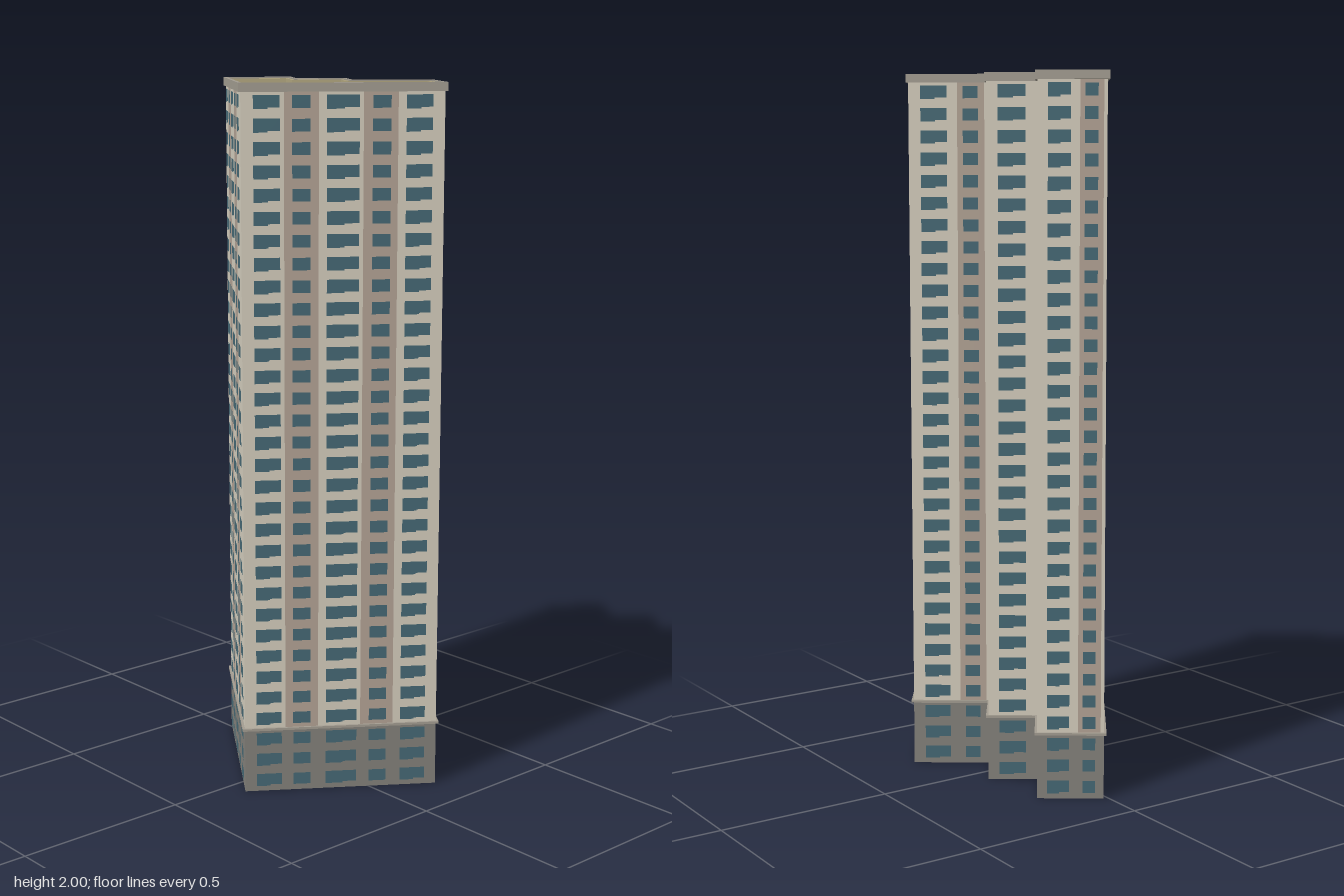
import * as THREE from 'three';
import { mergeGeometries } from 'three/addons/utils/BufferGeometryUtils.js';

const mat = (name, color) => {
  const m = new THREE.MeshStandardMaterial({ color });
  m.name = name;
  return m;
};

// Footprint corners, counter-clockwise from the front left corner
const FOOT = [[0, 0], [0.53, 0], [0.53, 0.551], [0.301, 0.551],
  [0.301, 0.327], [0.158, 0.327], [0.158, 0.186], [0, 0.186]];
const FLOOR = 0.0618, FLOORS = 32, BASE_FLOORS = 3;
const BASE_TOP = 0.187, ROOF = FLOOR * FLOORS;

// Bay layouts along a wall, as fractions: strips of tan wall and window spans
const LONG = { tan: [[0.21, 0.38], [0.6, 0.77]],
  wide: [[0.06, 0.19], [0.42, 0.58], [0.81, 0.94]], narrow: [[0.25, 0.34], [0.645, 0.735]] };
const PAIR = { tan: [[0.61, 0.95]], wide: [[0.15, 0.48]], narrow: [[0.68, 0.87]] };
const SINGLE = { tan: [], wide: [[0.22, 0.76]], narrow: [] };
const LAYOUTS = [LONG, LONG, PAIR, PAIR, SINGLE, SINGLE, SINGLE, PAIR];

export function createModel() {
  const cream = mat('cream wall', 0xd3ccbc);
  const tan = mat('tan wall', 0xb2a294);
  const grey = mat('grey base', 0x83807a);
  const glass = mat('blue glass', 0x456874);
  const roofMat = mat('roof', 0xc9c3b5);
  const trim = mat('stone trim', 0xa29c90);
  const rim = mat('ochre rim', 0xb3a780);

  const root = new THREE.Group();
  root.name = 'apartmentTower';
  const tower = new THREE.Group();
  tower.name = 'tower';
  tower.rotation.y = -THREE.MathUtils.degToRad(35);
  tower.position.set(-0.375, 0, -0.013);
  root.add(tower);

  const add = (parent, name, geometry, material) => {
    const mesh = new THREE.Mesh(geometry, material);
    mesh.name = name;
    parent.add(mesh);
    return mesh;
  };

  // Footprint grown outward by a margin; every corner is square
  const outline = (margin) => FOOT.map((p, i) => {
    const a = FOOT[(i + 7) % 8], b = FOOT[(i + 1) % 8];
    const d0 = new THREE.Vector2(p[0] - a[0], p[1] - a[1]).normalize();
    const d1 = new THREE.Vector2(b[0] - p[0], b[1] - p[1]).normalize();
    return new THREE.Vector2(p[0] + margin * (d0.y + d1.y), p[1] - margin * (d0.x + d1.x));
  });

  // Upright slab or ring between two heights
  const slab = (y0, y1, outer, inner) => {
    const shape = new THREE.Shape(outline(outer));
    if (inner !== undefined) shape.holes.push(new THREE.Path(outline(inner)));
    const g = new THREE.ExtrudeGeometry(shape, { depth: y1 - y0, bevelEnabled: false });
    return g.rotateX(-Math.PI / 2).translate(0, y0, 0);
  };

  // Main masses and trims
  add(tower, 'base', slab(0, BASE_TOP, 0), grey);
  add(tower, 'upperWalls', slab(BASE_TOP, ROOF - 0.002, 0), cream);
  add(tower, 'roof', slab(ROOF - 0.002, ROOF, 0), roofMat);
  add(tower, 'baseLedge', slab(0.184, 0.191, 0.007, -0.002), trim);
  add(tower, 'parapet', slab(1.976, 2, 0.006, -0.003), trim);
  add(tower, 'parapetInnerRim', slab(ROOF, 1.996, -0.003, -0.01), rim);

  // Flat panel on wall i between fractions a and b
  const panel = (i, a, b, y0, y1, out) => {
    const p = FOOT[i], q = FOOT[(i + 1) % 8];
    const dx = q[0] - p[0], dy = q[1] - p[1], len = Math.hypot(dx, dy);
    const t = (a + b) / 2;
    return new THREE.PlaneGeometry((b - a) * len, y1 - y0)
      .rotateY(Math.atan2(dy, dx))
      .translate(p[0] + dx * t + dy / len * out, (y0 + y1) / 2, -(p[1] + dy * t - dx / len * out));
  };

  const strips = [], panes = [];
  LAYOUTS.forEach((layout, i) => {
    for (const [a, b] of layout.tan) strips.push(panel(i, a, b, BASE_TOP, 1.976, 0.001));
    for (let k = 0; k < FLOORS; k++) {
      const y = 0.034 + k * FLOOR;
      // Wide windows have a taller and a shorter light
      for (const [a, b] of layout.wide) {
        const m = a + (b - a) * 0.55;
        panes.push(panel(i, a, m, y - 0.019, y + 0.018, 0.002));
        panes.push(panel(i, m, b, y - 0.015, y + 0.018, 0.002));
      }
      for (const [a, b] of layout.narrow) panes.push(panel(i, a, b, y - 0.017, y + 0.017, 0.002));
    }
  });
  add(tower, 'tanWallStrips', mergeGeometries(strips), tan);
  add(tower, 'windows', mergeGeometries(panes), glass);

  // Roof hatch, square to the model axes
  const hatch = add(root, 'roofHatch', new THREE.BoxGeometry(0.093, 0.016, 0.07), roofMat);
  hatch.position.set(0.003, ROOF + 0.008, 0.137);

  return root;
}
